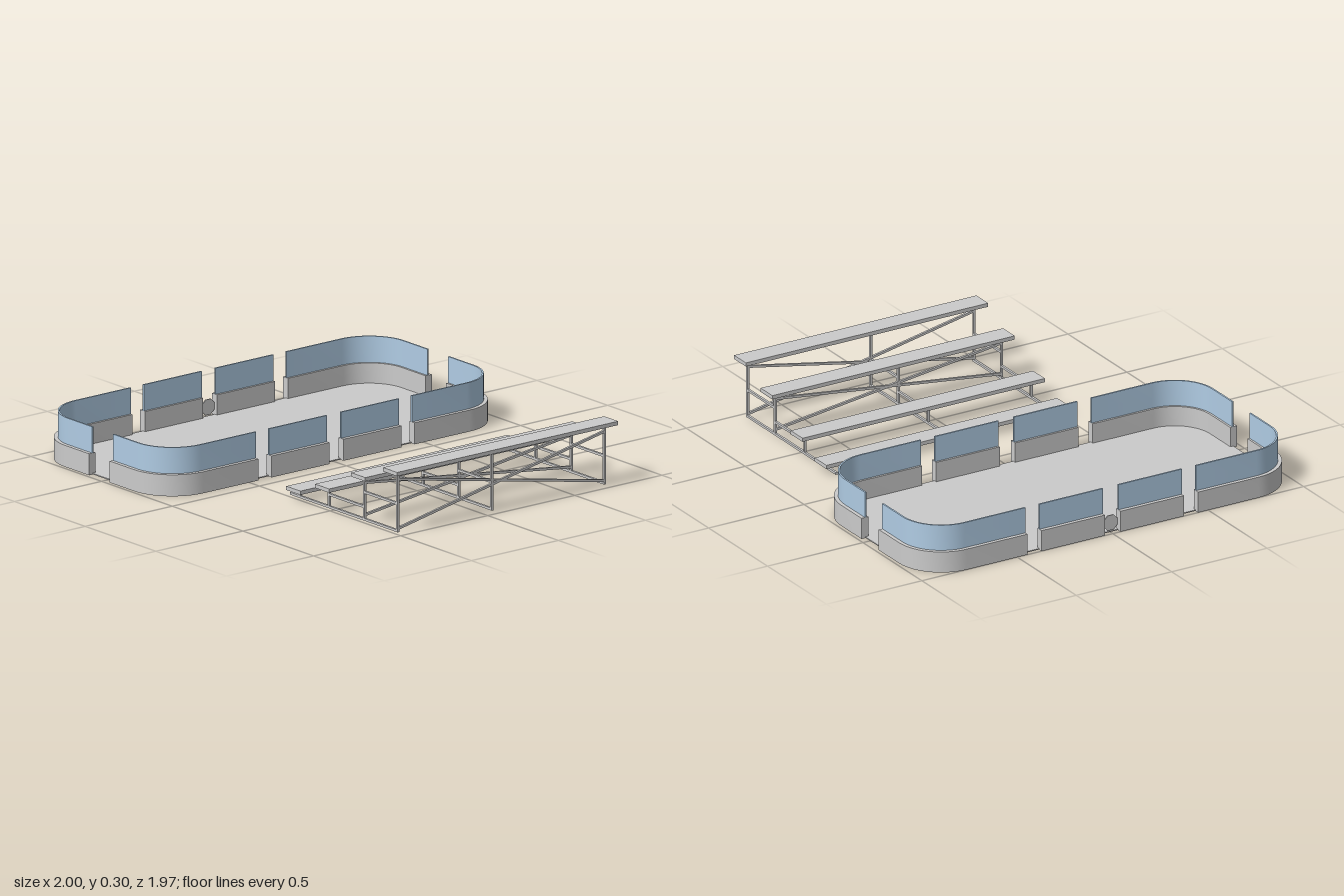
import * as THREE from 'three';
import { toCreasedNormals } from 'three/addons/utils/BufferGeometryUtils.js';

const grey = new THREE.MeshStandardMaterial({ color: 0xcccccc });
const blue = new THREE.MeshStandardMaterial({ color: 0xb0cce4 });

// Rink outer half sizes, corner radius, and centre
const HX = 0.465, HZ = 0.984, R = 0.22, CX = -0.535;

function add(parent, name, geometry, material = grey) {
  const mesh = new THREE.Mesh(geometry, material);
  mesh.name = name;
  parent.add(mesh);
  return mesh;
}

// Outline points in plan, extruded upwards from y0 to y1
function slab(points, y0, y1) {
  const geo = new THREE.ExtrudeGeometry(new THREE.Shape(points), { depth: y1 - y0, bevelEnabled: false });
  geo.rotateX(-Math.PI / 2);
  geo.translate(0, y0, 0);
  return toCreasedNormals(geo, 0.6);
}

// Quarter arc of the rink corner, inset from the outer edge
function cornerArc(inset, sx, sz, steps = 16) {
  const pts = [];
  for (let i = 0; i <= steps; i++) {
    const a = (i / steps) * Math.PI / 2, r = R - inset;
    pts.push(new THREE.Vector2(sx * (HX - R + r * Math.cos(a)), sz * (HZ - R + r * Math.sin(a))));
  }
  return pts;
}

// Curved wall around one corner, between insets a and b
function cornerWall(sx, sz, a, b, y0, y1) {
  const line = (d) => [
    new THREE.Vector2(sx * (HX - d), sz * 0.447),
    ...cornerArc(d, sx, sz),
    new THREE.Vector2(sx * 0.073, sz * (HZ - d)),
  ];
  return slab([...line(a), ...line(b).reverse()], y0, y1);
}

// Straight wall along one long side
function sideWall(sx, sz, a, b, y0, y1) {
  const pts = [[a, 0.04], [a, 0.373], [b, 0.373], [b, 0.04]];
  return slab(pts.map(([d, z]) => new THREE.Vector2(sx * (HX - d), sz * z)), y0, y1);
}

function createRink() {
  const rink = new THREE.Group();
  rink.name = 'rink';
  rink.position.x = CX;

  const floor = [
    ...cornerArc(0.02, 1, 1), ...cornerArc(0.02, -1, 1).reverse(),
    ...cornerArc(0.02, -1, -1), ...cornerArc(0.02, 1, -1).reverse(),
  ];
  add(rink, 'floor', slab(floor, 0.001, 0.006));

  for (const sx of [-1, 1]) for (const sz of [-1, 1]) {
    add(rink, 'cornerBoard', cornerWall(sx, sz, 0, 0.036, 0, 0.1));
    add(rink, 'cornerGlass', cornerWall(sx, sz, 0.018, 0.026, 0.1, 0.222), blue);
    add(rink, 'sideBoard', sideWall(sx, sz, 0, 0.036, 0, 0.1));
    add(rink, 'sideGlass', sideWall(sx, sz, 0.018, 0.026, 0.1, 0.222), blue);
  }

  // Small eight-sided plate in the middle gap
  const plate = new THREE.CylinderGeometry(0.039, 0.039, 0.005, 8);
  plate.rotateY(Math.PI / 8);
  plate.rotateZ(Math.PI / 2);
  add(rink, 'gapPlate', plate).position.set(-0.445, 0.047, 0);
  return rink;
}

function createBleachers() {
  const stand = new THREE.Group();
  stand.name = 'bleachers';
  const T = 0.011;

  // Square bar between two points
  const bar = (name, from, to) => {
    const a = new THREE.Vector3(...from), b = new THREE.Vector3(...to);
    const m = add(stand, name, new THREE.BoxGeometry(T, T, a.distanceTo(b)));
    m.position.copy(a).add(b).multiplyScalar(0.5);
    m.lookAt(b);
  };

  // Each row: bench centre, post position, bench top
  const rows = [
    [0.265, 0.265, 0.053], [0.468, 0.47, 0.11],
    [0.724, 0.722, 0.222], [0.949, 0.955, 0.298],
  ];
  const frames = [-0.705, -0.06, 0.48];

  for (const [x, , top] of rows) {
    add(stand, 'bench', new THREE.BoxGeometry(0.1, 0.018, 1.27)).position.set(x, top - 0.009, -0.115);
  }
  for (const z of frames) {
    bar('baseRail', [0.2, 0.009, z], [0.96, 0.009, z]);
    for (const [, x, top] of rows) bar('post', [x, 0.005, z], [x, top - 0.016, z]);
    bar('lowerTie', [0.47, 0.067, z], [0.722, 0.067, z]);
    bar('upperTie', [0.722, 0.136, z], [0.955, 0.136, z]);
  }

  // Crossed braces behind the two tall rows
  for (const [x, low, high] of [[0.722, 0.03, 0.18], [0.955, 0.02, 0.25]]) {
    bar('crossBrace', [x, low, frames[0]], [x, high, frames[2]]);
    bar('crossBrace', [x, high, frames[0]], [x, low, frames[2]]);
  }
  return stand;
}

export function createModel() {
  const model = new THREE.Group();
  model.name = 'rinkWithBleachers';
  model.add(createRink(), createBleachers());
  return model;
}
